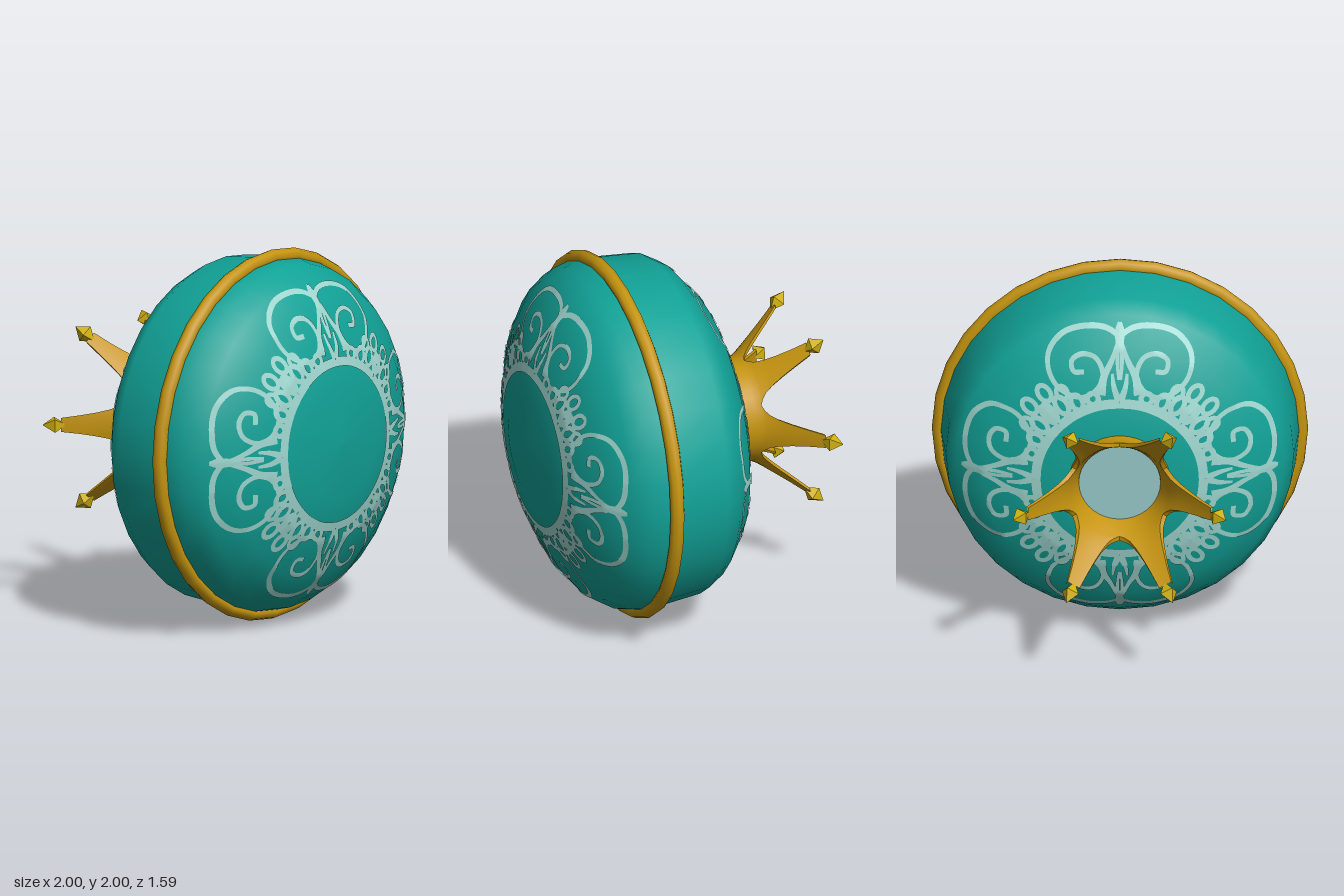
import * as THREE from 'three';
import { mergeGeometries, mergeVertices, toCreasedNormals } from 'three/addons/utils/BufferGeometryUtils.js';

const SEG = 32;
const STEP = (Math.PI * 2) / SEG;
// body profile [radius, z], back to front
const PROFILE = [[0, -0.335], [0.3, -0.33], [0.53, -0.275], [0.73, -0.2], [0.87, -0.09], [0.925, 0], [0.955, 0.31],
  [0.925, 0.43], [0.86, 0.53], [0.73, 0.63], [0.53, 0.72], [0.3, 0.775], [0, 0.79]];
const WIDEST = 6;

const mat = (name, color, side = THREE.FrontSide) => {
  const m = new THREE.MeshStandardMaterial({ color, side });
  m.name = name;
  return m;
};

// z of the faceted body surface under (x, y), on the front or the back
function surfaceZ(x, y, front) {
  const a = Math.atan2(x, y);
  const mid = (Math.floor(a / STEP) + 0.5) * STEP;
  const r = Math.hypot(x, y) * Math.cos(a - mid) / Math.cos(STEP / 2);
  const pts = front ? PROFILE.slice(WIDEST).reverse() : PROFILE.slice(0, WIDEST + 1);
  for (let i = 1; i < pts.length; i++) {
    const [r0, z0] = pts[i - 1], [r1, z1] = pts[i];
    if (r <= r1) return z0 + (z1 - z0) * (r - r0) / (r1 - r0);
  }
  return pts[pts.length - 1][1];
}

// indexed grid of rows x cols points, optionally flipped
function grid(pos, rows, cols, flip) {
  const idx = [];
  for (let i = 0; i < rows - 1; i++) for (let j = 0; j < cols - 1; j++) {
    const a = i * cols + j, b = a + 1, c = a + cols, d = c + 1;
    if (flip) idx.push(a, b, c, b, d, c);
    else idx.push(a, c, b, b, c, d);
  }
  const g = new THREE.BufferGeometry();
  g.setAttribute('position', new THREE.Float32BufferAttribute(pos, 3));
  g.setIndex(idx);
  return g;
}

// a lace stroke laid on the body; width runs from w0 to w1
function stroke({ pts, w0, w1 = w0, n = 40, closed = false }, turn, mirror, front) {
  const curve = new THREE.CatmullRomCurve3(pts.map(([x, y]) => new THREE.Vector3(x, y, 0)), closed);
  const c = Math.cos(turn), s = Math.sin(turn), pos = [];
  for (let i = 0; i <= n; i++) {
    const p = curve.getPoint(i / n), t = curve.getTangent(i / n);
    const w = w0 + (w1 - w0) * i / n;
    for (let j = -1; j <= 1; j++) {
      const x = (p.x - t.y * j * w / 2) * mirror, y = p.y + t.x * j * w / 2;
      const X = x * c - y * s, Y = x * s + y * c;
      pos.push(X, Y + 1, surfaceZ(X, Y, front) + (front ? 0.006 : -0.006));
    }
  }
  return grid(pos, n + 1, 3, mirror * (front ? 1 : -1) < 0);
}

const polar = (r, deg) => [r * Math.cos(deg * Math.PI / 180), r * Math.sin(deg * Math.PI / 180)];

// an oval loop whose long axis points outward
function loop(r, deg, long, wide, w0) {
  const a = deg * Math.PI / 180, [cx, cy] = polar(r, deg), pts = [];
  for (let i = 0; i < 8; i++) {
    const t = i * Math.PI / 4, u = long * Math.cos(t), v = wide * Math.sin(t);
    pts.push([cx + u * Math.cos(a) - v * Math.sin(a), cy + u * Math.sin(a) + v * Math.cos(a)]);
  }
  return { pts, w0, n: 24, closed: true };
}

function laceGeometry() {
  const half = [
    // inner band
    { pts: [45, 56, 68, 79, 90].map((d) => polar(0.446, d)), w0: 0.05, n: 24 },
    // scroll
    { pts: [[0, 0.78], [0.07, 0.815], [0.18, 0.82], [0.31, 0.775], [0.38, 0.68], [0.37, 0.58], [0.31, 0.505], [0.2, 0.475],
      [0.12, 0.52], [0.09, 0.6], [0.13, 0.68], [0.2, 0.695], [0.255, 0.66], [0.245, 0.605], [0.19, 0.605]], w0: 0.026, n: 90 },
    // spear: centre leaf, side leaf, base
    { pts: [[0, 0.84], [0.012, 0.8], [0.004, 0.75]], w0: 0.02, w1: 0.035, n: 10 },
    { pts: [[0.005, 0.78], [0.012, 0.66], [0.004, 0.57]], w0: 0.022, w1: 0.018, n: 16 },
    { pts: [[0.012, 0.75], [0.045, 0.66], [0.085, 0.58], [0.1, 0.49]], w0: 0.018, w1: 0.05, n: 20 },
    { pts: [[0.005, 0.46], [0.03, 0.53], [0.04, 0.6]], w0: 0.04, w1: 0.015, n: 14 },
    // beads
    loop(0.49, 73, 0.03, 0.03, 0.028),
    loop(0.5, 63, 0.042, 0.03, 0.028),
    loop(0.525, 54, 0.05, 0.03, 0.028),
    loop(0.53, 46, 0.055, 0.022, 0.024),
    loop(0.625, 50, 0.045, 0.032, 0.026),
    loop(0.58, 58, 0.035, 0.03, 0.024),
  ];
  const parts = [];
  for (const front of [true, false]) for (let q = 0; q < 4; q++) for (const m of [1, -1])
    for (const s of half) parts.push(stroke(s, q * Math.PI / 2, m, front));
  const g = mergeGeometries(parts);
  g.computeVertexNormals();
  return g;
}

// crown sections: [radius, z, half angle in degrees, wall thickness]
const CROWN = [[0.27, -0.31, 30, 0.06], [0.27, -0.36, 30, 0.05], [0.28, -0.42, 30, 0.03], [0.29, -0.455, 30, 0.025],
  [0.297, -0.467, 24, 0.025], [0.31, -0.49, 18.5, 0.025], [0.34, -0.53, 13.5, 0.024], [0.385, -0.585, 9.5, 0.022],
  [0.44, -0.65, 6.5, 0.02], [0.505, -0.722, 4.3, 0.018]];

function crownGeometry() {
  const parts = [], C = 6;
  for (let k = 0; k < 6; k++) {
    const pos = [];
    for (const [r, z, deg, th] of CROWN) {
      const ring = [];
      for (let j = 0; j <= C; j++) ring.push([r, -1 + 2 * j / C]);
      for (let j = C; j >= 0; j--) ring.push([r - th, -1 + 2 * j / C]);
      ring.push(ring[0]);
      for (const [rr, f] of ring) {
        const a = k * Math.PI / 3 + f * deg * Math.PI / 180;
        pos.push(rr * Math.cos(a), 1 + rr * Math.sin(a), z);
      }
    }
    parts.push(grid(pos, CROWN.length, 2 * C + 3, false));
  }
  return toCreasedNormals(mergeVertices(mergeGeometries(parts)), 0.7);
}

export function createModel() {
  const group = new THREE.Group();
  const teal = mat('teal', 0x11a297);
  const gold = mat('gold', 0xc6950f);
  const brightGold = mat('brightGold', 0xd0b010);
  const paleAqua = mat('paleAqua', 0xa0d6cf, THREE.DoubleSide);
  const glass = mat('paleGlass', 0x96c6c8);
  const add = (name, geo, material) => {
    const m = new THREE.Mesh(geo, material);
    m.name = name;
    group.add(m);
    return m;
  };

  // round body turned about z
  const body = new THREE.LatheGeometry(PROFILE.map(([r, z]) => new THREE.Vector2(r, z)), SEG);
  body.rotateX(Math.PI / 2);
  add('body', body, teal).position.y = 1;

  // seam ring
  add('rimRing', new THREE.TorusGeometry(0.96, 0.04, 8, SEG), gold).position.set(0, 1, 0.31);

  add('lacePattern', laceGeometry(), paleAqua);

  // crown-shaped neck on the back, with its mouth
  add('crown', crownGeometry(), gold);
  const mouth = add('mouthDisc', new THREE.CircleGeometry(0.222, SEG), glass);
  mouth.rotation.y = Math.PI;
  mouth.position.set(0, 1, -0.345);

  // pointed tips of the prongs
  const dir = new THREE.Vector3(0.68, 0, -0.73).normalize();
  for (let k = 0; k < 6; k++) {
    const a = k * Math.PI / 3;
    const geo = new THREE.OctahedronGeometry(1);
    geo.scale(0.05, 0.065, 0.05);
    geo.applyQuaternion(new THREE.Quaternion().setFromUnitVectors(new THREE.Vector3(0, 1, 0), dir));
    geo.translate(0.522, 0, -0.75);
    geo.rotateZ(a);
    add('prongTip', geo, brightGold).position.y = 1;
  }
  return group;
}
